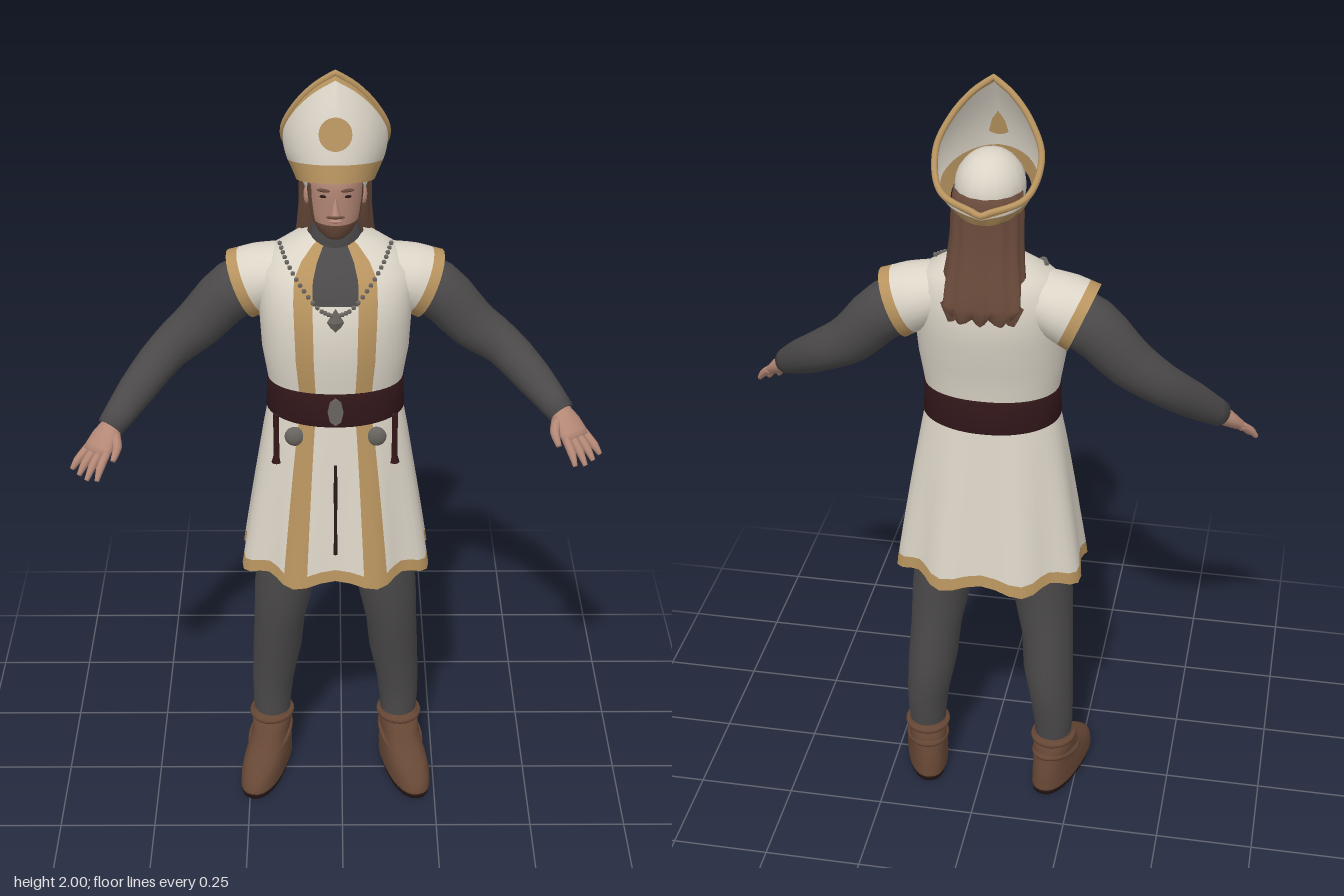
import * as THREE from 'three';

const V = (x, y, z) => new THREE.Vector3(x, y, z);
const mat = (name, color, side = THREE.DoubleSide) => {
  const m = new THREE.MeshStandardMaterial({ color, side });
  m.name = name;
  return m;
};
const spow = (v, p) => Math.sign(v) * Math.abs(v) ** p;

// Superellipse ring in the horizontal plane; theta runs from the front (+z) to +x
const ring = ([y, rx, rz, zc = 0, cx = 0], n = 24, p = 1) =>
  Array.from({ length: n }, (_, j) => {
    const a = (j / n) * Math.PI * 2;
    return V(cx + rx * spow(Math.sin(a), p), y, zc + rz * spow(Math.cos(a), p));
  });

// Closed loft through rings (bottom to top); pick(row, column) selects the material
function loft(name, rings, mats, pick = () => 0, caps = false) {
  const n = rings[0].length, pos = [], lists = mats.map(() => []);
  rings.forEach(r => r.forEach(p => pos.push(p.x, p.y, p.z)));
  for (let i = 0; i < rings.length - 1; i++)
    for (let j = 0; j < n; j++) {
      const a = i * n + j, b = i * n + (j + 1) % n;
      lists[pick(i, j)].push(a, b, b + n, a, b + n, a + n);
    }
  if (caps) for (const end of [0, rings.length - 1]) {
    const c = rings[end].reduce((s, p) => s.add(p), V(0, 0, 0)).divideScalar(n);
    const k = pos.length / 3;
    pos.push(c.x, c.y, c.z);
    for (let j = 0; j < n; j++) {
      const a = end * n + j, b = end * n + (j + 1) % n;
      lists[pick(end ? end - 1 : 0, j)].push(...(end ? [a, b, k] : [b, a, k]));
    }
  }
  const g = new THREE.BufferGeometry();
  g.setAttribute('position', new THREE.Float32BufferAttribute(pos, 3));
  g.setIndex(lists.flat());
  let start = 0;
  lists.forEach((l, m) => { if (l.length) g.addGroup(start, l.length, m); start += l.length; });
  g.computeVertexNormals();
  const mesh = new THREE.Mesh(g, mats);
  mesh.name = name;
  return mesh;
}

// Swept limb through [x, y, z, halfWidth, halfThickness] stations
function limb(name, st, mats, { n = 16, steps = 3, pick, caps = true } = {}) {
  const curve = new THREE.CatmullRomCurve3(st.map(s => V(s[0], s[1], s[2])));
  const rows = (st.length - 1) * steps, rings = [];
  for (let i = 0; i <= rows; i++) {
    const t = i / rows, k = Math.min(Math.floor(i / steps), st.length - 2), f = i / steps - k;
    const r = m => THREE.MathUtils.lerp(st[k][m] ?? st[k][3], st[k + 1][m] ?? st[k + 1][3], f);
    const p = curve.getPoint(t), d = curve.getTangent(t);
    const s = V(0, 1, 0.01).cross(d).normalize(), u = d.clone().cross(s);
    rings.push(Array.from({ length: n }, (_, j) => {
      const a = (j / n) * Math.PI * 2;
      return p.clone().addScaledVector(s, -Math.sin(a) * r(3)).addScaledVector(u, Math.cos(a) * r(4));
    }));
  }
  return loft(name, rings, mats, pick, caps);
}

export function createModel() {
  const cream = mat('cream cloth', 0xdbd4c7), gold = mat('gold trim', 0xb8945f);
  const grey = mat('dark grey cloth', 0x4b4949), skin = mat('skin', 0xb48876);
  const hair = mat('brown hair', 0x68493a), maroon = mat('maroon belt', 0x311619);
  const leather = mat('shoe leather', 0x664735), sole = mat('dark sole', 0x2b1a18);
  const metal = mat('grey metal', 0x68645f);
  const model = new THREE.Group(), body = new THREE.Group();
  body.name = 'body';
  body.position.x = -0.018;
  model.add(body);
  const add = (name, geo, m, p, s = [1, 1, 1], r = [0, 0, 0]) => {
    const mesh = new THREE.Mesh(geo, m);
    mesh.name = name;
    mesh.position.set(...p); mesh.scale.set(...s); mesh.rotation.set(...r);
    body.add(mesh);
  };
  const ball = new THREE.SphereGeometry(1, 16, 12);
  const N = 48;
  const isStripe = j => j === 2 || j === 3 || j === 44 || j === 45;

  // Flared skirt with folds, gold hem and front stripes
  const skirtPoint = (j, v) => {
    const a = (j / N) * Math.PI * 2, w = 1 - v;
    const fold = -0.011 * w * Math.cos(8 * a);
    const rx = 0.165 + 0.078 * w ** 0.85 + fold, rz = 0.127 + 0.054 * w + fold;
    return V(rx * spow(Math.sin(a), 0.9), 0.695 + 0.455 * v - 0.01 * w * Math.cos(8 * a + Math.PI),
      -0.025 + rz * spow(Math.cos(a), 0.9));
  };
  const skirtRows = [0, 0.07, 0.2, 0.35, 0.5, 0.65, 0.8, 0.92, 1];
  body.add(loft('tunicSkirt', skirtRows.map(v => Array.from({ length: N }, (_, j) => skirtPoint(j, v))),
    [cream, gold], (i, j) => (i === 0 || isStripe(j) ? 1 : 0)));
  body.add(limb('frontSlit', [0.72, 0.55, 0.38, 0.17].map((v, i) => {
    const p = skirtPoint(0, v);
    return [p.x, p.y, p.z, 0.004 + 0.002 * (i % 2)];
  }), [sole], { n: 6 }));

  // Bodice with stripes and open neckline
  const torso = [[1.18, .163, .122, -.025], [1.24, .172, .13, -.025], [1.3, .182, .138, -.026],
    [1.38, .187, .149, -.035], [1.45, .192, .142, -.046], [1.5, .188, .122, -.058],
    [1.535, .155, .1, -.067], [1.565, .105, .075, -.072], [1.582, .068, .056, -.066]];
  body.add(loft('tunicBodice', torso.map(t => ring(t, N, 0.92)), [cream, gold, grey],
    (i, j) => (isStripe(j) ? 1 : i >= 4 && (j < 2 || j > 45) ? 2 : 0)));
  body.add(loft('shirtCollar', [[1.53, .07, .06, -.06], [1.585, .062, .058, -.05], [1.61, .055, .052, -.05]]
    .map(t => ring(t)), [grey]));

  // Belt, buckle, chain and pendant
  body.add(loft('belt', [[1.128, .164, .13, -.025], [1.135, .173, .138, -.025], [1.175, .17, .134, -.025],
    [1.212, .171, .134, -.025], [1.22, .163, .125, -.025]].map(t => ring(t, N, 0.92)), [maroon]));
  add('buckle', new THREE.CylinderGeometry(.024, .024, .014, 8), metal, [0, 1.175, .112], [.8, 1, 1.5], [Math.PI / 2, 0, 0]);
  add('pendant', new THREE.OctahedronGeometry(.026), metal, [0, 1.415, .108], [.8, 1.4, .4]);

  // Head with a beard along the jaw
  const head = [[1.603, .026, .034, .012], [1.615, .042, .05, .004], [1.632, .052, .062, -.003], [1.645, .058, .069, -.006],
    [1.665, .062, .075, -.012], [1.7, .067, .084, -.018], [1.735, .069, .094, -.025], [1.78, .07, .1, -.035]];
  body.add(loft('head', head.map(t => ring(t, 32)), [skin, hair],
    (i, j) => (i < 3 || (i < 6 && j > 5 && j < 27) ? 1 : 0), true));
  add('neck', new THREE.CylinderGeometry(.046, .05, .13, 20), skin, [0, 1.6, -.045]);
  add('nose', new THREE.ConeGeometry(.013, .045, 8), skin, [0, 1.698, .07], [.9, 1, 1.1], [-.25, 0, 0]);
  add('moustache', ball, hair, [0, 1.666, .061], [.023, .004, .006]);
  add('mouth', ball, skin, [0, 1.656, .062], [.017, .004, .006]);

  // Long hair falling behind the shoulders
  const locks = [[1.75, .08, .07, -.085], [1.7, .085, .066, -.092], [1.64, .086, .062, -.1],
    [1.58, .091, .057, -.118], [1.53, .098, .047, -.138], [1.485, .1, .033, -.163], [1.455, .08, .016, -.178]].reverse();
  body.add(loft('longHair', locks.map((t, i) => {
    const r = ring(t, N);
    r.forEach((p, j) => {
      const a = (j / N) * Math.PI * 2, k = 1 + 0.035 * Math.cos(12 * a);
      p.x *= k; p.z = t[3] + (p.z - t[3]) * k;
      if (i === 0) p.y += 0.012 * Math.cos(9 * a);
    });
    return r;
  }), [hair], undefined, true));

  // Tall hat: raised pointed front, oblique open back
  const half = new THREE.CatmullRomCurve3([V(0, 2, -.012), V(.048, 1.965, -.024), V(.094, 1.91, -.045),
    V(.124, 1.84, -.078), V(.1, 1.765, -.145), V(0, 1.73, -.185)]);
  const rim = Array.from({ length: N }, (_, j) => {
    const p = half.getPoint(j <= N / 2 ? j / (N / 2) : (N - j) / (N / 2));
    if (j > N / 2) p.x *= -1;
    return p;
  });
  const base = ring([1.72, .094, .118, -.045], N);
  base.forEach(p => { p.y = 1.755 - (0.073 - p.z) * 0.275; });
  const hatPoint = (j, k) => {
    const len = base[j].distanceTo(rim[j]), lo = Math.min(.045 / len, .5), hi = 1 - Math.min(.022 / len, .45);
    const s = k === 0 ? 0 : k === 7 ? 1 : lo + (hi - lo) * (k - 1) / 5;
    const a = (j / N) * Math.PI * 2, b = .016 * Math.sin(Math.PI * s) * Math.min(1, len / .15);
    return base[j].clone().lerp(rim[j], s).add(V(b * Math.sin(a), 0, b * Math.cos(a)));
  };
  body.add(loft('hat', Array.from({ length: 8 }, (_, k) => rim.map((_, j) => hatPoint(j, k))),
    [cream, gold], i => (i === 0 || i === 6 ? 1 : 0)));
  add('hatRim', new THREE.TubeGeometry(new THREE.CatmullRomCurve3(rim, true), 80, .008, 8, true), gold, [0, -.006, 0]);
  add('hatLining', ball, cream, [0, 1.745, -.055], [.085, .09, .1]);
  const face = hatPoint(0, 3);
  add('hatDisc', new THREE.CylinderGeometry(.039, .039, .009, 28), gold, [0, 1.867, face.z + .002], [1, 1, 1], [Math.PI / 2 - .22, 0, 0]);

  for (const s of [-1, 1]) {
    const side = s > 0 ? 'left' : 'right';
    // Facial details
    add(side + 'Eye', ball, sole, [s * .027, 1.718, .059], [.011, .004, .004]);
    add(side + 'Brow', ball, hair, [s * .028, 1.734, .062], [.017, .004, .005], [0, s * .3, 0]);
    add(side + 'Ear', ball, skin, [s * .068, 1.69, -.025], [.008, .024, .014]);

    // Cap of the tunic at the shoulder with a gold edge
    body.add(limb(side + 'ShoulderCap', [[s * .12, 1.475, -.07, .085, .07], [s * .18, 1.455, -.076, .09, .083],
      [s * .232, 1.433, -.08, .086, .09]], [cream, gold], { n: 24, steps: 4, caps: false, pick: i => (i > 5 ? 1 : 0) }));

    // Sleeve; the right arm hangs slightly lower
    const dy = s > 0 ? 0.03 : -0.01;
    body.add(limb(side + 'Sleeve', [[s * .15, 1.455, -.08, .072], [s * .25, 1.415, -.085, .072],
      [s * .34, 1.325, -.078, .063], [s * .42, 1.262 + dy / 3, -.056, .053],
      [s * .495, 1.19 + dy * .7, .01, .046], [s * .557, 1.125 + dy, .078, .034]], [grey]));

    // Hand: palm, four fingers and a thumb
    const hand = new THREE.Group();
    hand.name = side + 'Hand';
    const w = V(s * .55, 1.132 + dy, .07), d = V(s * .08, -.105, .105).normalize();
    const across = V(s * .79, 0, -.61);
    const at = (l, o) => w.clone().addScaledVector(d, l).addScaledVector(across, o);
    hand.add(limb('palm', [[...at(0, 0), .026, .024], [...at(.04, 0), .038, .023], [...at(.088, 0), .042, .016]], [skin]));
    for (let f = 0; f < 4; f++) {
      const o = (f - 1.5) * .02, len = .155 - .008 * Math.abs(f - 1.2);
      const tip = at(len, o * 1.45);
      tip.y -= .008;
      hand.add(limb('finger', [[...at(.078, o), .011], [...at(.12, o * 1.25), .0105], [...tip, .006]], [skin], { n: 8 }));
    }
    hand.add(limb('thumb', [[...at(.025, -.022), .014], [...at(.055, -.05), .012], [...at(.09, -.06), .007]], [skin], { n: 8 }));
    body.add(hand);

    // Chain, hip ornament and hanging tassel
    const chain = new THREE.CatmullRomCurve3([V(s * .135, 1.553, -.05), V(s * .115, 1.53, .02), V(s * .08, 1.485, .065), V(s * .035, 1.442, .1), V(0, 1.43, .108)]);
    for (let k = 0; k < 18; k++)
      add(side + 'ChainLink', new THREE.IcosahedronGeometry(.0065), metal, chain.getPoint(k / 17).toArray());
    add(side + 'HipOrnament', ball, metal, [s * .1, 1.095, .09], [.026, .026, .014]);
    add(side + 'Strap', new THREE.BoxGeometry(.014, .12, .014), maroon, [s * .147, 1.085, .07]);
    add(side + 'Tassel', new THREE.ConeGeometry(.013, .045, 8), maroon, [s * .147, 1.035, .072]);

    // Trouser leg
    const leg = [[.14, .046, .052, -.06, .172], [.2, .051, .058, -.062, .173], [.27, .056, .066, -.066, .169],
      [.38, .065, .081, -.058, .156], [.48, .067, .083, -.038, .149], [.6, .078, .091, -.027, .134],
      [.75, .084, .097, -.026, .11], [.95, .084, .1, -.03, .085]];
    body.add(loft(side + 'Trouser', leg.map(([y, a, b, z, x]) => ring([y, a, b, z, s * x], 24)), [grey]));

    // Shoe turned outward about the ankle
    const shoe = new THREE.Group();
    shoe.name = side + 'Shoe';
    shoe.position.set(s * .174, 0, -.06);
    shoe.rotation.y = s * .25;
    const foot = [[0, .052, .143, .062], [.016, .056, .147, .062], [.02, .055, .145, .062], [.045, .056, .14, .058],
      [.068, .054, .122, .044], [.088, .051, .096, .022], [.115, .05, .071, .004], [.17, .05, .057, 0]];
    shoe.add(loft('shoeUpper', foot.map(t => ring(t, 28, 0.85)), [leather, sole], i => (i < 1 ? 1 : 0), true));
    for (const [y, z, rx, rz, tilt] of [[.155, 0, .052, .058, 0], [.095, .02, .05, .088, .25]]) {
      const strap = new THREE.Mesh(new THREE.TorusGeometry(1, .16, 8, 28), leather);
      strap.name = 'shoeStrap';
      strap.position.set(0, y, z);
      strap.scale.set(rx, rz, .055);
      strap.rotation.x = Math.PI / 2 + tilt;
      shoe.add(strap);
    }
    body.add(shoe);
  }
  return model;
}
